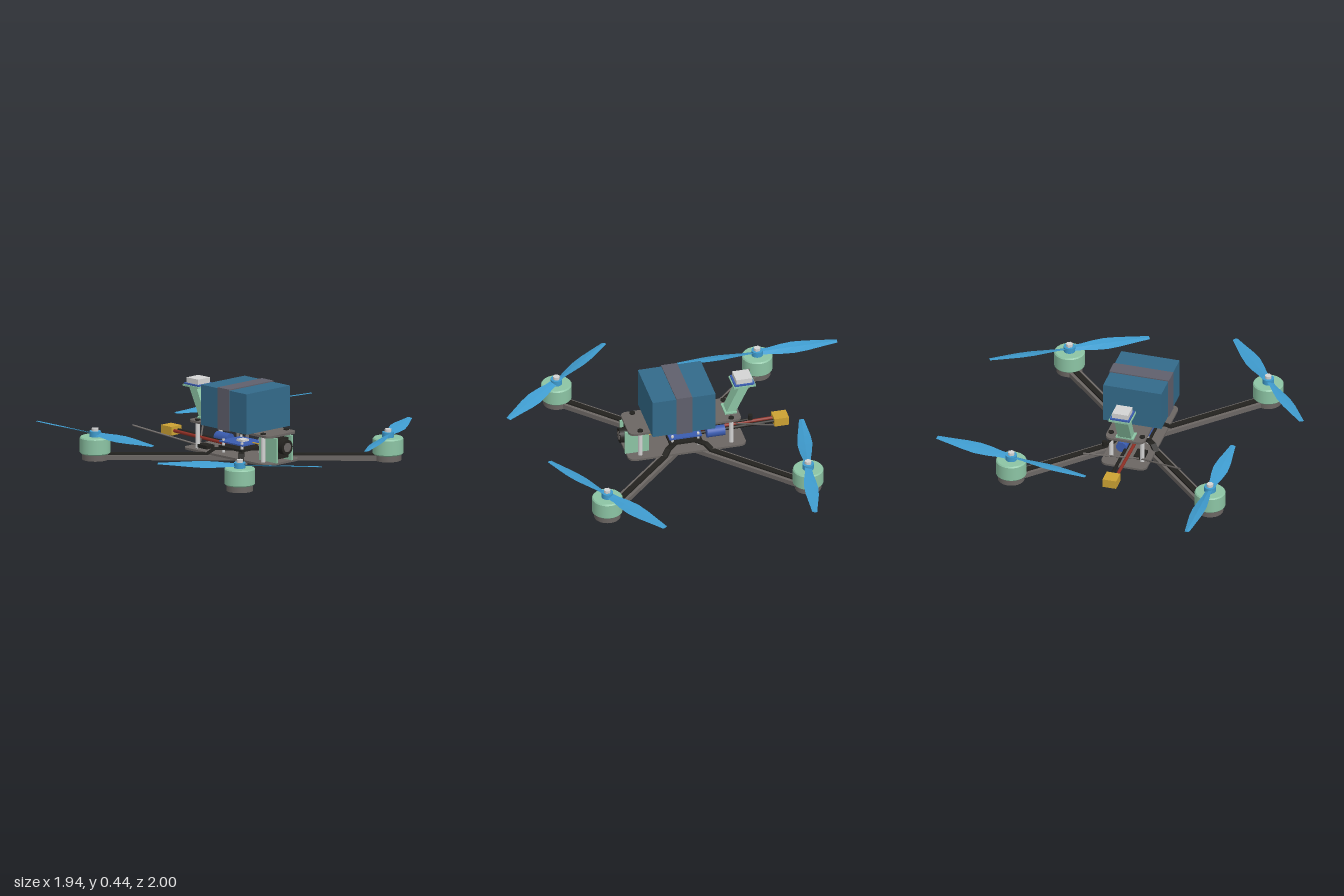
import * as THREE from 'three';

const mat = (name, color) => { const m = new THREE.MeshStandardMaterial({ color }); m.name = name; return m; };

export function createModel() {
  const carbon = mat('carbon grey', 0x6b6663), black = mat('black', 0x23221f);
  const green = mat('mint green', 0x8cc4a4), packBlue = mat('battery blue', 0x336a8a);
  const propBlue = mat('propeller blue', 0x3f9ccf), strapGrey = mat('strap grey', 0x60606c);
  const yellow = mat('connector yellow', 0xcca233), silver = mat('silver', 0xd4d4d4);
  const boardBlue = mat('board blue', 0x3a5cb0), red = mat('wire red', 0x8f2f25);

  // The frame centre is the origin of this group
  const root = new THREE.Group();
  root.name = 'quadcopter';
  root.position.set(-0.078, 0, 0.048);

  const add = (geo, m, name, x = 0, y = 0, z = 0, parent = root) => {
    const o = new THREE.Mesh(geo, m);
    o.name = name;
    o.position.set(x, y, z);
    parent.add(o);
    return o;
  };
  const box = (m, name, w, h, d, x, y, z, parent) => add(new THREE.BoxGeometry(w, h, d), m, name, x, y, z, parent);
  const cyl = (m, name, r, h, x, y, z, parent, seg = 24) =>
    add(new THREE.CylinderGeometry(r, r, h, seg), m, name, x, y, z, parent);
  const tube = (m, name, r, pts) => add(new THREE.TubeGeometry(
    new THREE.CatmullRomCurve3(pts.map(p => new THREE.Vector3(...p))), 16, r, 8), m, name);

  // Rounded flat plate, with its lower face at y
  const plate = (name, w, z0, z1, r, y, h) => {
    const s = new THREE.Shape(), a = w / 2;
    s.absarc(a - r, z1 - r, r, 0, Math.PI / 2);
    s.absarc(-a + r, z1 - r, r, Math.PI / 2, Math.PI);
    s.absarc(-a + r, z0 + r, r, Math.PI, Math.PI * 1.5);
    s.absarc(a - r, z0 + r, r, Math.PI * 1.5, Math.PI * 2);
    const g = new THREE.ExtrudeGeometry(s, { depth: h, bevelEnabled: false, curveSegments: 6 });
    g.rotateX(Math.PI / 2);
    add(g, carbon, name, 0, y + h, 0);
  };
  plate('bottomPlate', 0.27, -0.345, 0.342, 0.04, 0.032, 0.012);
  plate('topPlate', 0.23, -0.32, 0.335, 0.035, 0.19, 0.013);

  // Standoffs between the plates
  for (const x of [-0.092, 0.092]) for (const z of [-0.262, 0.268]) {
    cyl(silver, 'standoff', 0.013, 0.146, x, 0.117, z, root, 12);
    cyl(black, 'standoffScrew', 0.016, 0.008, x, 0.206, z, root, 12);
    cyl(black, 'lowerScrew', 0.016, 0.008, x, 0.029, z, root, 12);
  }

  // Propeller blade lofted from thin, twisted cross-sections
  const bladeGeometry = (dir) => {
    const sections = [[0.02, 0.04, 20], [0.07, 0.045, 20], [0.14, 0.068, 18], [0.21, 0.083, 15],
      [0.29, 0.075, 12], [0.37, 0.053, 10], [0.465, 0.028, 8]];
    const pos = [], idx = [];
    sections.forEach(([r, c, deg], i) => {
      const t = Math.tan(THREE.MathUtils.degToRad(deg)) * dir, h = c / 2;
      pos.push(r, -h * t, -h, r, 0.003, 0, r, h * t, h, r, -0.003, 0);
      if (i) for (let j = 0; j < 4; j++) {
        const k = (j + 1) % 4, a = (i - 1) * 4, b = i * 4;
        idx.push(a + j, a + k, b + j, b + j, a + k, b + k);
      }
    });
    const e = (sections.length - 1) * 4;
    idx.push(e, e + 1, e + 2, e, e + 2, e + 3);
    const g = new THREE.BufferGeometry();
    g.setAttribute('position', new THREE.Float32BufferAttribute(pos, 3));
    g.setIndex(idx);
    const flat = g.toNonIndexed();
    flat.computeVertexNormals();
    return flat;
  };

  // Four arms with motor and propeller: side, depth, blade direction (x, z)
  const reach = 0.585;
  for (const [sx, sz, px, pz] of [[-1, -1, 0, -1], [1, -1, 0.455, 0.077], [-1, 1, 0.3, 0.355], [1, 1, 0.4, -0.235]]) {
    const arm = new THREE.Group();
    arm.name = 'arm';
    arm.rotation.y = Math.atan2(-sz, sx);
    root.add(arm);
    const len = reach * Math.SQRT2;
    box(carbon, 'armBeam', len, 0.027, 0.07, len / 2, 0.0185, 0, arm);
    // Dark cable cover that climbs over the bottom plate
    const cover = new THREE.Shape([[0, 0.06], [0.15, 0.06], [0.19, 0.031], [0.76, 0.031],
      [0.76, 0.041], [0.2, 0.041], [0.16, 0.07], [0, 0.07]].map(p => new THREE.Vector2(...p)));
    add(new THREE.ExtrudeGeometry(cover, { depth: 0.034, bevelEnabled: false }), black, 'cableCover', 0, 0, -0.017, arm);

    const motor = new THREE.Group();
    motor.name = 'motor';
    motor.position.set(sx * reach, 0, sz * reach);
    root.add(motor);
    cyl(carbon, 'motorBase', 0.075, 0.034, 0, 0.021, 0, motor, 32);
    cyl(black, 'motorFoot', 0.05, 0.008, 0, 0.004, 0, motor);
    add(new THREE.LatheGeometry([[0, 0.038], [0.08, 0.038], [0.087, 0.045], [0.087, 0.045], [0.087, 0.128],
      [0.087, 0.128], [0.081, 0.135], [0.081, 0.135], [0, 0.135]].map(p => new THREE.Vector2(...p)), 32),
    green, 'motorBell', 0, 0, 0, motor);
    cyl(propBlue, 'propHub', 0.033, 0.032, 0, 0.15, 0, motor);
    cyl(silver, 'propNut', 0.02, 0.022, 0, 0.172, 0, motor, 6);

    const prop = new THREE.Group();
    prop.name = 'propeller';
    prop.position.y = 0.15;
    prop.rotation.y = Math.atan2(-pz, px);
    motor.add(prop);
    const blade = bladeGeometry(-sx * sz);
    for (const turn of [0, Math.PI]) add(blade, propBlue, 'blade', 0, 0, 0, prop).rotation.y = turn;
  }

  // Battery and its strap, looped round the pack and top plate
  box(packBlue, 'battery', 0.343, 0.233, 0.367, 0, 0.322, 0.032);
  box(strapGrey, 'strapTop', 0.351, 0.006, 0.092, 0, 0.442, 0.032);
  for (const s of [-1, 1]) box(strapGrey, 'strapSide', 0.005, 0.24, 0.092, s * 0.173, 0.323, 0.032);
  box(strapGrey, 'strapBottom', 0.351, 0.004, 0.092, 0, 0.204, 0.032);

  // Camera between two green cheek plates
  for (const s of [-1, 1]) box(green, 'cameraMount', 0.014, 0.143, 0.138, s * 0.06, 0.116, 0.28);
  box(black, 'cameraBody', 0.1, 0.115, 0.09, 0, 0.118, 0.285);
  const lens = cyl(black, 'cameraLens', 0.043, 0.05, 0, 0.13, 0.345);
  lens.rotation.x = Math.PI / 2;
  const glass = cyl(carbon, 'lensGlass', 0.027, 0.006, 0, 0.13, 0.369);
  glass.rotation.x = Math.PI / 2;
  tube(yellow, 'cameraCable', 0.004, [[0, 0.09, 0.24], [0, 0.112, 0.17], [0, 0.115, 0.09]]);

  // Electronics stack
  box(black, 'speedController', 0.18, 0.012, 0.19, 0, 0.078, 0);
  box(boardBlue, 'flightController', 0.17, 0.008, 0.19, 0, 0.108, 0);
  box(silver, 'processor', 0.05, 0.012, 0.05, 0, 0.118, 0.01);
  for (const x of [-0.07, 0.07]) for (const z of [-0.075, 0.075])
    cyl(silver, 'stackPost', 0.008, 0.08, x, 0.083, z, root, 8);
  const cap = cyl(boardBlue, 'capacitor', 0.031, 0.105, 0.04, 0.095, -0.183);
  cap.rotation.x = Math.PI / 2;
  box(black, 'receiver', 0.06, 0.02, 0.08, -0.07, 0.058, -0.22);
  box(black, 'videoTransmitter', 0.1, 0.016, 0.14, 0.03, 0.168, -0.16);

  // Battery lead and connector
  tube(red, 'redWire', 0.01, [[-0.016, 0.08, -0.08], [-0.016, 0.085, -0.3], [-0.016, 0.09, -0.535]]);
  tube(black, 'blackWire', 0.01, [[0.016, 0.08, -0.08], [0.016, 0.085, -0.3], [0.016, 0.09, -0.535]]);
  box(yellow, 'powerConnector', 0.08, 0.05, 0.085, 0, 0.09, -0.57);

  // Receiver whiskers and the short video antenna
  tube(carbon, 'leftWhisker', 0.005, [[-0.085, 0.06, -0.265], [-0.235, 0.122, -0.377], [-0.385, 0.185, -0.488]]);
  tube(carbon, 'rightWhisker', 0.005, [[-0.07, 0.06, -0.265], [0.06, 0.122, -0.377], [0.193, 0.185, -0.488]]);
  tube(black, 'antennaCable', 0.007, [[0.06, 0.168, -0.22], [0.085, 0.172, -0.29], [0.097, 0.182, -0.37]]);
  cyl(black, 'antennaConnector', 0.014, 0.03, 0.098, 0.197, -0.372, root, 12);

  // Satellite receiver on its leaning mast
  box(green, 'mastFoot', 0.105, 0.01, 0.07, 0, 0.207, -0.272);
  const mast = new THREE.Shape([[-0.245, 0.203], [-0.3, 0.203], [-0.385, 0.375], [-0.325, 0.375]].map(p => new THREE.Vector2(...p)));
  const mastGeo = new THREE.ExtrudeGeometry(mast, { depth: 0.08, bevelEnabled: false });
  mastGeo.rotateY(-Math.PI / 2);
  add(mastGeo, green, 'mast', 0.04, 0, 0);
  box(green, 'receiverTray', 0.126, 0.01, 0.128, 0, 0.38, -0.35);
  box(boardBlue, 'receiverBoard', 0.114, 0.01, 0.116, 0, 0.389, -0.35);
  box(silver, 'receiverPatch', 0.094, 0.03, 0.094, 0, 0.409, -0.35);

  const model = new THREE.Group();
  model.name = 'model';
  model.add(root);
  return model;
}
